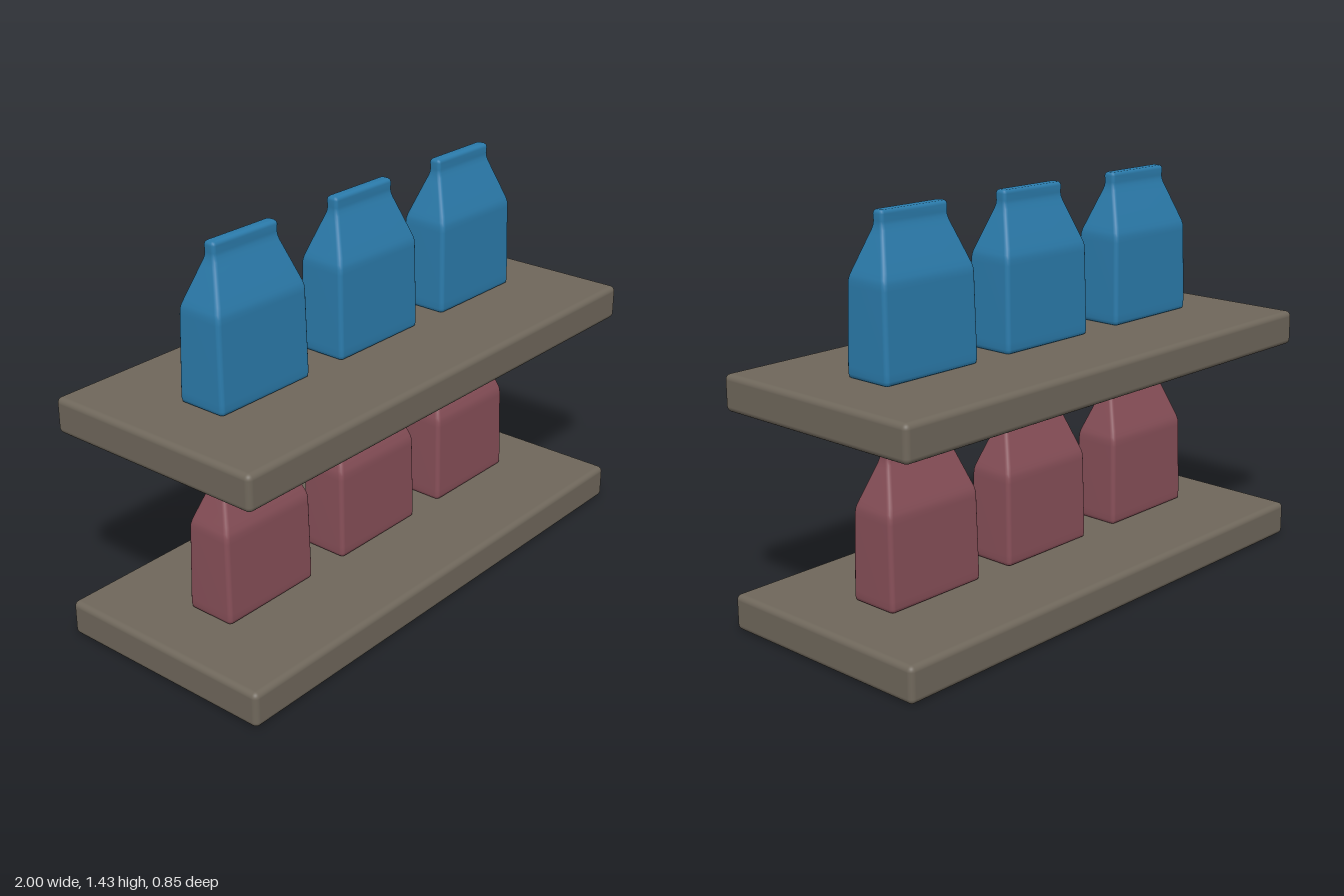
import * as THREE from 'three';
import { RoundedBoxGeometry } from 'three/addons/geometries/RoundedBoxGeometry.js';

const SHELF_H = 0.127, SHELF_GAP = 0.762;

// Bag sections from bottom to top: height, half width, half depth, corner radius
const SECTIONS = [
  [0.0, 0.198, 0.086, 0.01],
  [0.004, 0.203, 0.092, 0.014],
  [0.015, 0.206, 0.094, 0.016],
  [0.04, 0.206, 0.094, 0.016],
  [0.3, 0.202, 0.088, 0.016],
  [0.32, 0.201, 0.087, 0.016],
  [0.335, 0.198, 0.083, 0.016],
  [0.355, 0.191, 0.076, 0.016],
  [0.46, 0.155, 0.036, 0.014],
  [0.478, 0.149, 0.029, 0.014],
  [0.493, 0.146, 0.024, 0.013],
  [0.505, 0.145, 0.0225, 0.012],
  [0.528, 0.146, 0.0235, 0.012],
  [0.536, 0.144, 0.021, 0.011],
  [0.541, 0.138, 0.015, 0.008],
];

// Loft of rounded rectangles, closed at both ends
function bagGeometry() {
  const steps = 4, n = 4 * (steps + 1);
  const pos = [], index = [];
  for (const [y, hw, hd, r] of SECTIONS) {
    for (let q = 0; q < 4; q++) {
      const sx = q === 0 || q === 3 ? 1 : -1, sz = q < 2 ? 1 : -1;
      for (let s = 0; s <= steps; s++) {
        const a = (q + s / steps) * Math.PI / 2;
        pos.push(sx * (hw - r) + r * Math.cos(a), y, sz * (hd - r) + r * Math.sin(a));
      }
    }
  }
  const last = (SECTIONS.length - 1) * n, bottom = last + n, top = bottom + 1;
  pos.push(0, SECTIONS[0][0], 0, 0, SECTIONS[SECTIONS.length - 1][0], 0);
  for (let j = 0; j < n; j++) {
    const k = (j + 1) % n;
    for (let i = 0; i < last; i += n) {
      index.push(i + j, i + n + j, i + n + k, i + j, i + n + k, i + k);
    }
    index.push(bottom, j, k, top, last + k, last + j);
  }
  const g = new THREE.BufferGeometry();
  g.setAttribute('position', new THREE.Float32BufferAttribute(pos, 3));
  g.setIndex(index);
  g.computeVertexNormals();
  return g;
}

export function createModel() {
  const model = new THREE.Group();
  model.name = 'shelvesWithBags';
  const shelfMat = new THREE.MeshStandardMaterial({ color: 0x6f675b });
  const bagMats = [0x874f58, 0x2b7bab].map((color) => new THREE.MeshStandardMaterial({ color }));
  const shelfGeo = new RoundedBoxGeometry(2, SHELF_H, 0.85, 4, 0.02);
  const bagGeo = bagGeometry();

  // Two tiers, each a board with a row of three bags
  ['lower', 'upper'].forEach((tier, t) => {
    const group = new THREE.Group();
    group.name = tier + 'Tier';
    group.position.y = t * SHELF_GAP;

    const shelf = new THREE.Mesh(shelfGeo, shelfMat);
    shelf.name = tier + 'Shelf';
    shelf.position.y = SHELF_H / 2;
    group.add(shelf);

    [-0.563, 0.006, 0.56].forEach((x, i) => {
      const bag = new THREE.Mesh(bagGeo, bagMats[t]);
      bag.name = `${tier}Bag${i + 1}`;
      bag.position.set(x, SHELF_H, 0);
      group.add(bag);
    });
    model.add(group);
  });
  return model;
}
